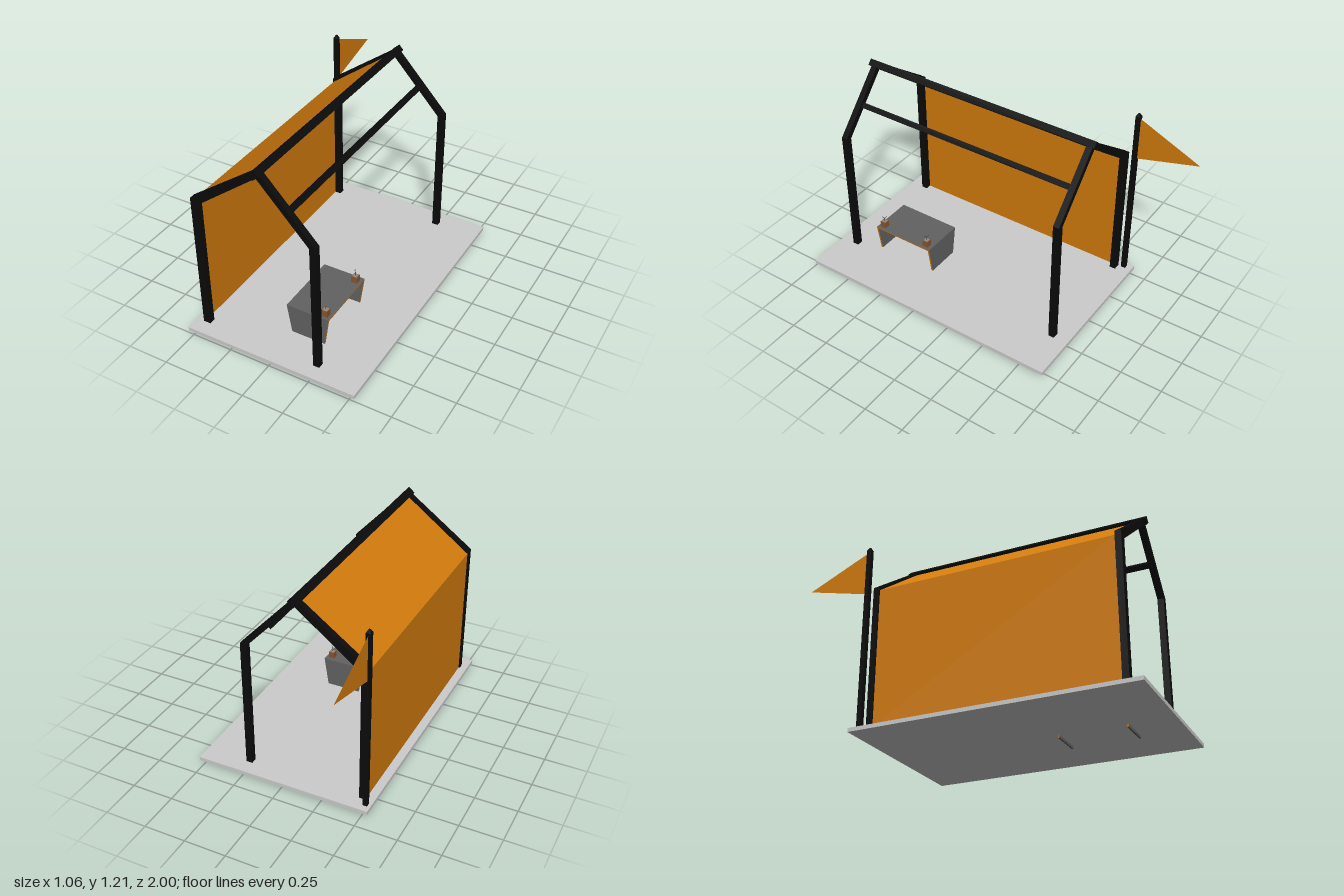
import * as THREE from 'three';

const mat = (name, color, side = THREE.FrontSide) => {
  const m = new THREE.MeshStandardMaterial({ color, side });
  m.name = name;
  return m;
};

export function createModel() {
  const black = mat('black timber', 0x0b0b0b);
  const orange = mat('orange canvas', 0xd27b0d, THREE.DoubleSide);
  const grey = mat('dark grey board', 0x626262);
  const pale = mat('pale floor', 0xcccccc);
  const clay = mat('clay brown', 0x8a5530);
  const soil = mat('grey soil', 0x8c8c84);
  const leaf = mat('dark stem', 0x3a3a38, THREE.DoubleSide);

  const model = new THREE.Group();
  model.name = 'openShelter';
  const add = (name, geo, material, parent = model) => {
    const mesh = new THREE.Mesh(geo, material);
    mesh.name = name;
    parent.add(mesh);
    return mesh;
  };
  // Box given by its minimum and maximum on each axis
  const box = (name, x0, x1, y0, y1, z0, z1, material, parent) => {
    const m = add(name, new THREE.BoxGeometry(x1 - x0, y1 - y0, z1 - z0), material, parent);
    m.position.set((x0 + x1) / 2, (y0 + y1) / 2, (z0 + z1) / 2);
    return m;
  };
  // Flat polygon from three or four corners
  const sheet = (name, corners, material) => {
    const geo = new THREE.BufferGeometry();
    geo.setAttribute('position', new THREE.Float32BufferAttribute(corners.flat(), 3));
    geo.setIndex(corners.length === 4 ? [0, 1, 2, 0, 2, 3] : [0, 1, 2]);
    geo.computeVertexNormals();
    return add(name, geo, material);
  };

  box('floor', -0.533, 0.53, 0.016, 0.039, -0.66, 1, pale);

  // Two gable frames, each a single bent outline
  const outline = [
    [-0.49, 0.038], [-0.445, 0.038], [-0.445, 0.86], [-0.065, 1.153], [0.23, 0.832],
    [0.23, 0.04], [0.268, 0.04], [0.268, 0.842], [-0.062, 1.2], [-0.49, 0.89],
  ].map(([x, y]) => new THREE.Vector2(x, y));
  for (const [name, z] of [['frontFrame', 0.896], ['backFrame', -0.555]]) {
    const geo = new THREE.ExtrudeGeometry(new THREE.Shape(outline), { depth: 0.037, bevelEnabled: false });
    add(name, geo, black).position.z = z - 0.0185;
  }

  // Ridge beam and purlin, turned to the roof slopes
  const ridge = box('ridgeBeam', -0.085, -0.045, 1.156, 1.204, -0.587, 0.932, black);
  ridge.rotation.z = -0.84;
  const purlin = box('purlin', 0.077, 0.109, 0.968, 1.004, -0.55, 0.9, black);
  purlin.rotation.z = -0.82;

  // Canvas wall and the single covered roof slope
  const zf = 0.88, zb = -0.538;
  sheet('wall', [[-0.482, 0.039, zb], [-0.482, 0.039, zf], [-0.482, 0.872, zf], [-0.482, 0.872, zb]], orange);
  sheet('roof', [[-0.482, 0.872, zb], [-0.482, 0.872, zf], [-0.07, 1.178, zf], [-0.07, 1.178, zb]], orange);

  // Flagpole with a tapered tip, and its pennant
  const pz = -0.606, px = -0.5;
  box('flagpole', px - 0.014, px + 0.014, 0.039, 1.138, pz - 0.014, pz + 0.014, black);
  const tip = new THREE.CylinderGeometry(0.007, 0.0198, 0.017, 4).rotateY(Math.PI / 4).toNonIndexed();
  tip.computeVertexNormals();
  add('poleTip', tip, black).position.set(px, 1.1465, pz);
  sheet('flag', [[px, 1.13, pz], [px, 0.853, pz], [px, 0.955, -1]], orange);

  // Table: a top board on two tapered legs, with orange edges
  const table = new THREE.Group();
  table.name = 'table';
  model.add(table);
  const faces = [orange, orange, grey, grey, grey, grey];
  const board = (name, y0, y1, z0, z1) => {
    const m = box(name, -0.5, 0.5, y0, y1, z0, z1, faces, table);
    const p = m.geometry.attributes.position;
    for (let i = 0; i < p.count; i++) {
      const t = (p.getY(i) + m.position.y) / 0.22;
      p.setX(i, p.getX(i) > 0 ? 0.193 + 0.033 * t : -0.005 - 0.035 * t);
    }
    m.position.x = 0;
    m.geometry.computeVertexNormals();
  };
  board('tableTop', 0.211, 0.22, 0.34, 0.742);
  board('tableLegFront', 0, 0.211, 0.732, 0.742);
  board('tableLegBack', 0, 0.211, 0.34, 0.35);

  // Potted sprigs
  for (const z of [0.706, 0.382]) {
    const pot = new THREE.Group();
    pot.name = 'pottedPlant';
    pot.position.set(0.19, 0.22, z);
    model.add(pot);
    box('pot', -0.018, 0.018, 0, 0.04, -0.018, 0.018, clay, pot);
    box('soil', -0.014, 0.014, 0.04, 0.041, -0.014, 0.014, soil, pot);
    add('stem', new THREE.CylinderGeometry(0.0015, 0.0015, 0.025, 5), leaf, pot).position.y = 0.052;
    for (let i = 0; i < 4; i++) {
      const a = Math.PI / 4 + i * Math.PI / 2;
      const geo = new THREE.PlaneGeometry(0.005, 0.022).rotateX(0.75).translate(0, 0.066, 0.007).rotateY(a);
      add('leaf', geo, i % 2 ? soil : leaf, pot);
    }
  }
  return model;
}
